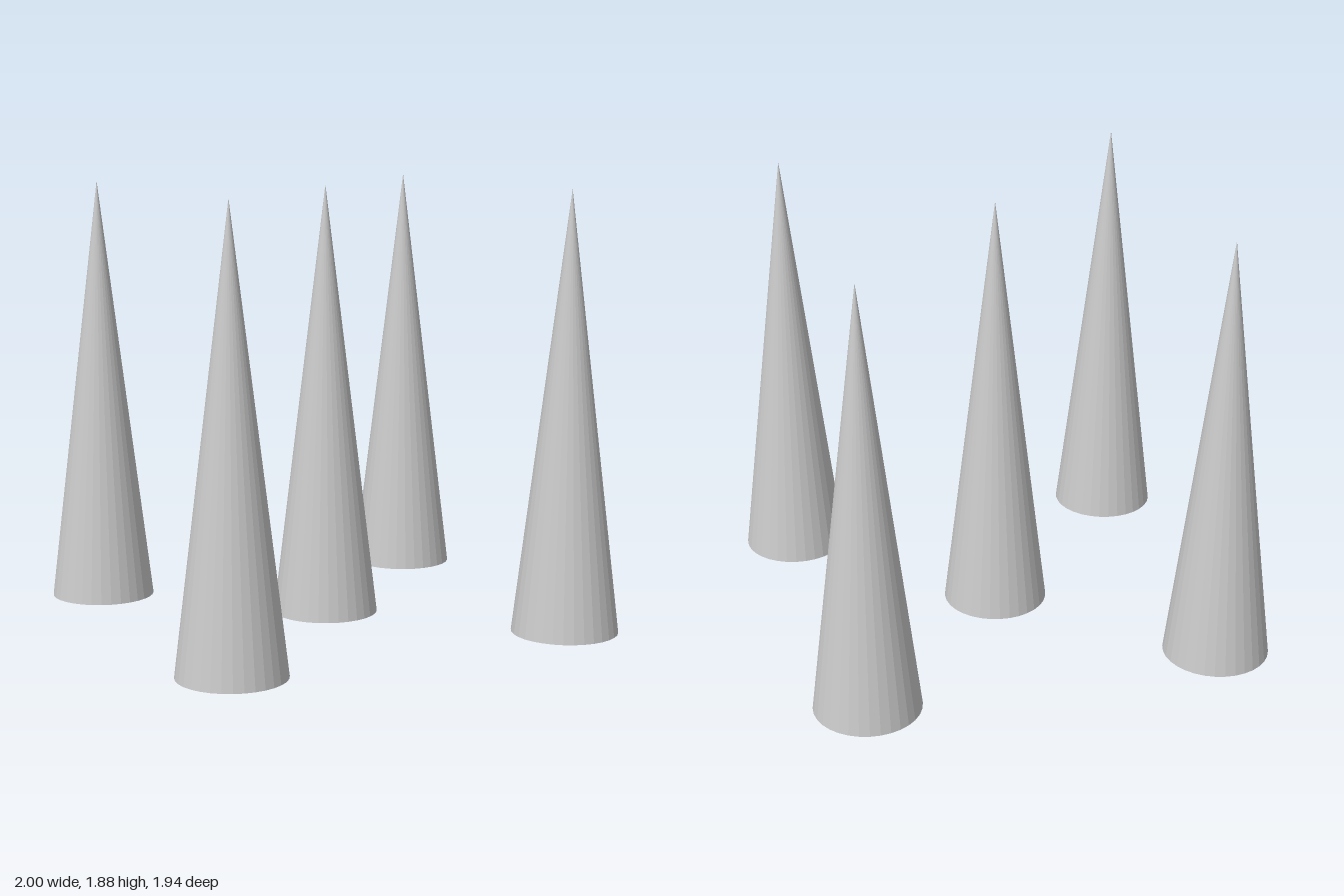
import * as THREE from 'three';

const RADIUS = 0.228;
const HEIGHT = 1.88;

export function createModel() {
  const model = new THREE.Group();
  model.name = 'spikes';
  const material = new THREE.MeshStandardMaterial({ color: 0xcccccc, flatShading: true });

  // One closed cone, standing on the ground, shared by all spikes
  const cone = new THREE.ConeGeometry(RADIUS, HEIGHT, 32);
  cone.translate(0, HEIGHT / 2, 0);

  const addSpike = (name, x, z) => {
    const spike = new THREE.Mesh(cone, material);
    spike.name = name;
    spike.position.set(x, 0, z);
    model.add(spike);
  };

  // Four corner spikes
  for (const [side, x] of [['Left', 0.772], ['Right', -0.772]]) {
    for (const [end, z] of [['front', 0.74], ['back', -0.74]]) {
      addSpike(`${end}${side}Spike`, x, z);
    }
  }

  // Middle spike, slightly off centre
  addSpike('centreSpike', 0.008, -0.02);

  return model;
}
